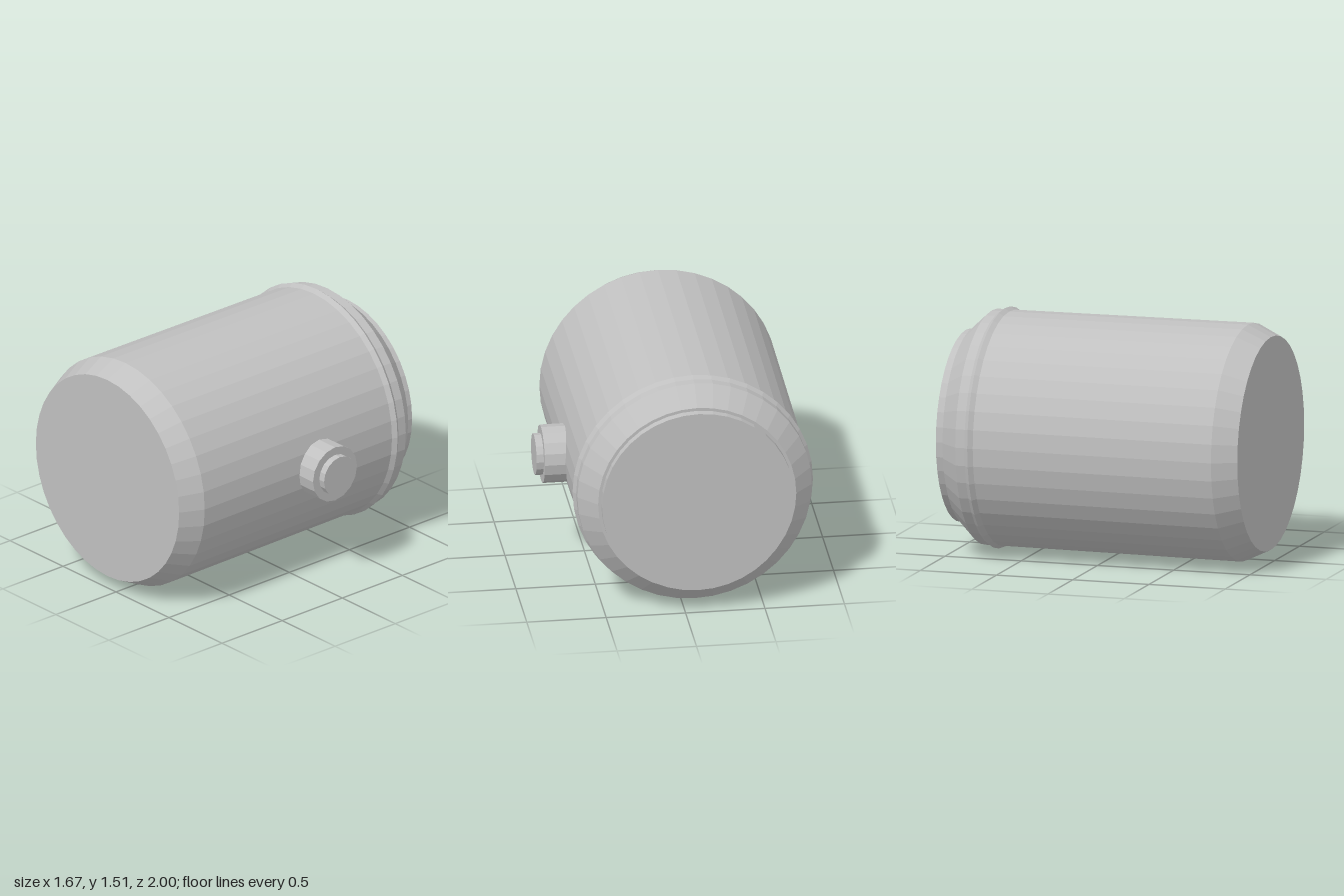
import * as THREE from 'three';

export function createModel() {
  const model = new THREE.Group();
  model.name = 'canister';

  const grey = new THREE.MeshStandardMaterial({ color: 0xc0c0c0, flatShading: true });
  grey.name = 'plain grey';

  // Spins [radius, height] pairs, listed bottom to top, into a faceted solid
  const turned = (name, profile, sides) => {
    const points = profile.map(([r, h]) => new THREE.Vector2(r, h));
    const mesh = new THREE.Mesh(new THREE.LatheGeometry(points, sides), grey);
    mesh.name = name;
    model.add(mesh);
    return mesh;
  };

  // Drum lying along z: back plate, shoulder, raised band, tapered wall, front bevel
  const drum = turned('drum', [
    [0, -1], [0.605, -1], [0.605, -0.95],
    [0.624, -0.95], [0.738, -0.83], [0.738, -0.77],
    [0.757, -0.745], [0.738, -0.715],
    [0.747, 0.85], [0.676, 1], [0, 1],
  ], 40);
  drum.geometry.rotateX(Math.PI / 2);
  drum.position.set(-0.08, 0.757, 0);

  // Stepped knob on the left side, pointing along +x
  const knob = turned('sideKnob', [
    [0, 0.6], [0.183, 0.6], [0.183, 0.79],
    [0.131, 0.79], [0.131, 0.835], [0, 0.835],
  ], 16);
  knob.geometry.rotateZ(-Math.PI / 2);
  knob.position.set(0, 0.743, -0.125);

  return model;
}
